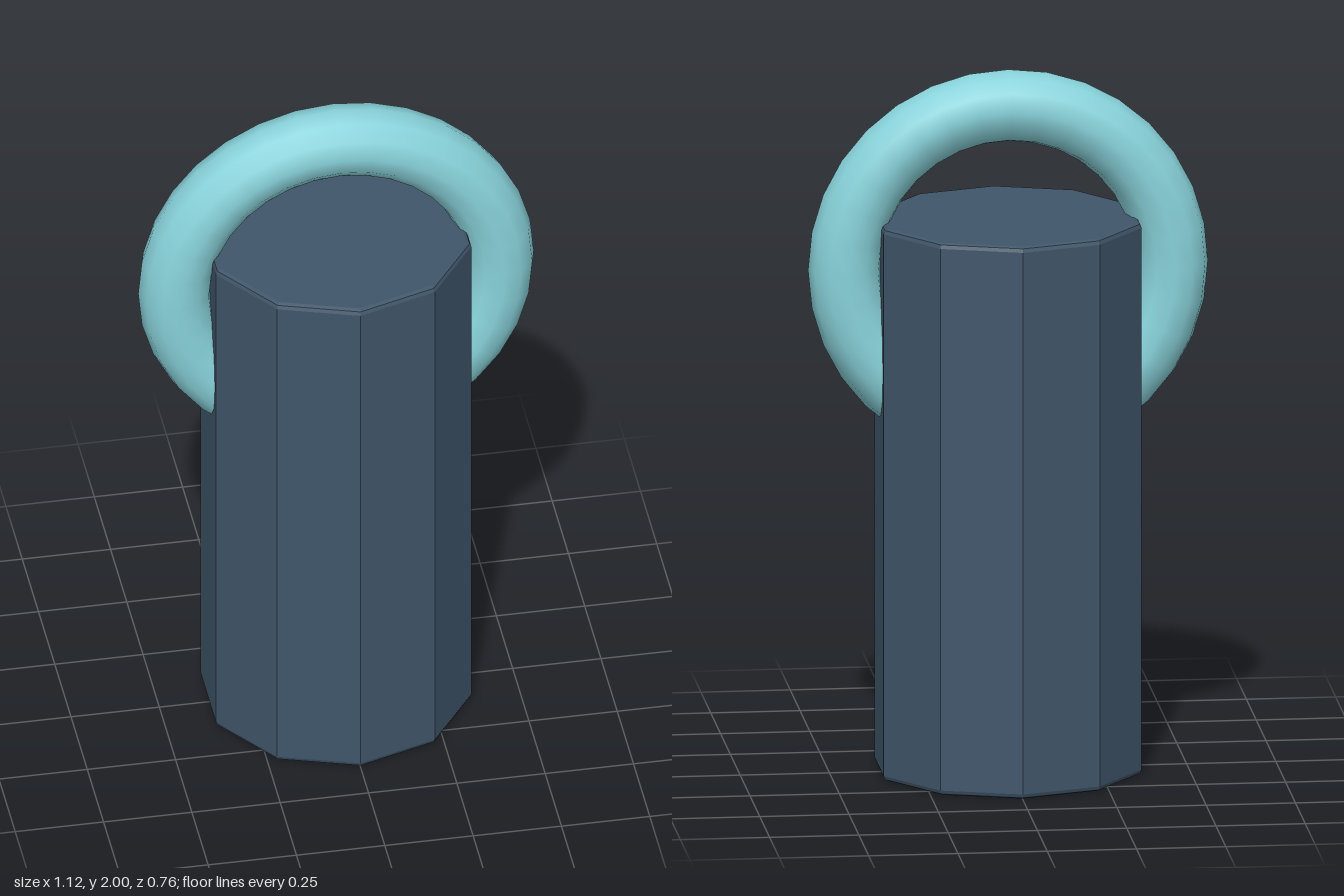
import * as THREE from 'three';

export function createModel() {
  const group = new THREE.Group();
  const slate = new THREE.MeshStandardMaterial({ color: 0x40566a });
  slate.name = 'slate blue';
  slate.flatShading = true;
  const aqua = new THREE.MeshStandardMaterial({ color: 0x88d2da });
  aqua.name = 'pale aqua';

  // Ten-sided body with small bevels at both ends
  const r = 0.38, h = 1.58, b = 0.015;
  const profile = [
    [0, 0], [r - b, 0], [r - b * 0.3, b * 0.3], [r, b],
    [r, h - b], [r - b * 0.3, h - b * 0.3], [r - b, h], [0, h],
  ].map(([x, y]) => new THREE.Vector2(x, y));
  const body = new THREE.Mesh(new THREE.LatheGeometry(profile, 10), slate);
  body.name = 'body';
  group.add(body);

  // Ring passing through the upper part of the body
  const ring = new THREE.Mesh(new THREE.TorusGeometry(0.458, 0.102, 12, 32), aqua);
  ring.name = 'ring';
  ring.position.y = 1.44;
  group.add(ring);

  return group;
}
